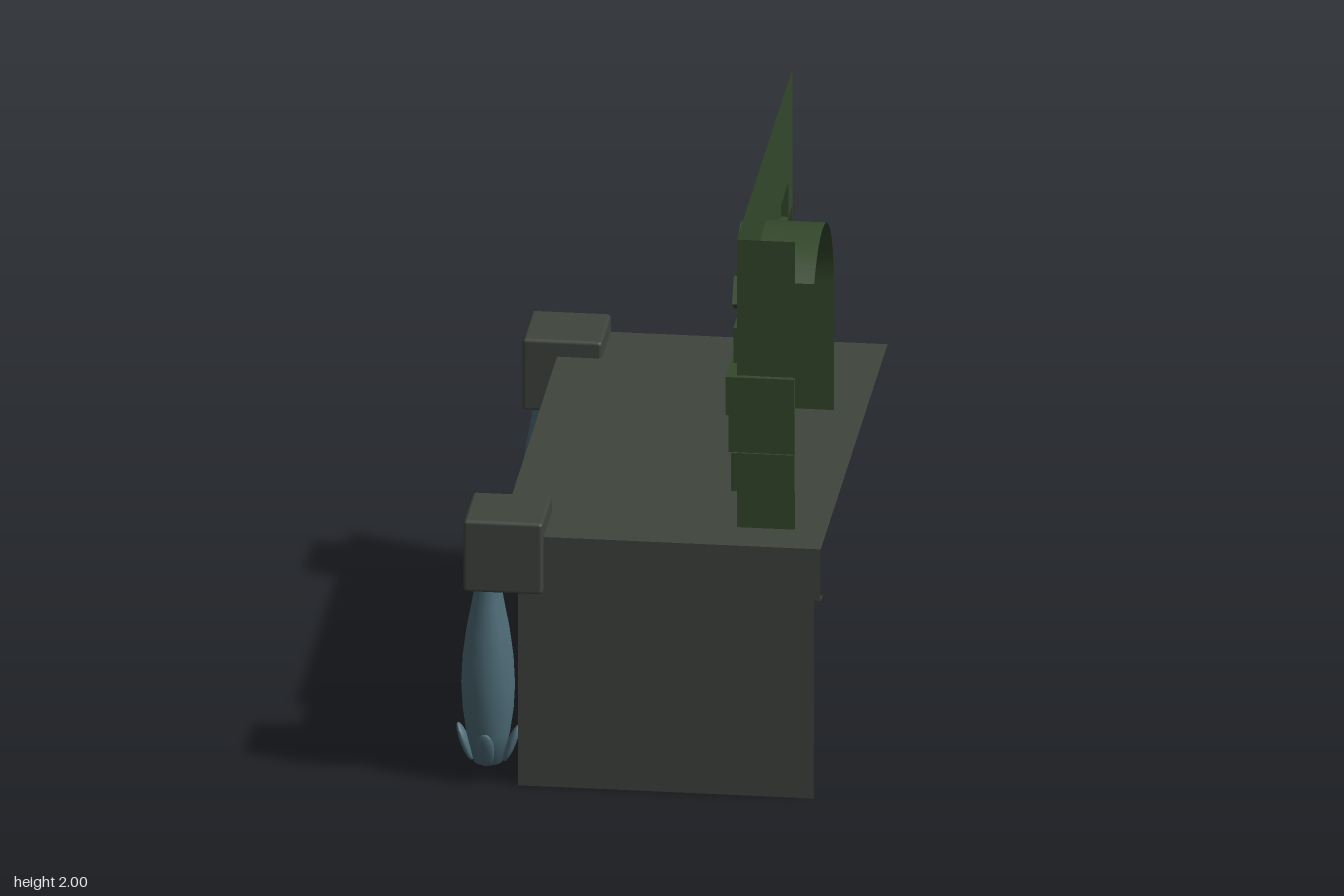
import * as THREE from 'three';
import { RoundedBoxGeometry } from 'three/addons/geometries/RoundedBoxGeometry.js';

const material = (color) => new THREE.MeshStandardMaterial({ color, side: THREE.DoubleSide });
const stone = material(0x3f443d);
const moss = material(0x34492c);
const blue = material(0x4d6b76);

// arch measures in (u, y), where u = -z
const CU = 0.01, CY = 1.415, R_IN = 0.32, R_OUT = 0.39, FLOOR = 0.94, WALL_X = 0.32;

function add(parent, name, geometry, mat) {
  const mesh = new THREE.Mesh(geometry, mat);
  mesh.name = name;
  parent.add(mesh);
  return mesh;
}

// flat sheet whose axis ('x', 'y' or 'z') is fixed at "at"; ranges cover the other two axes in x, y, z order
function sheet(parent, name, mat, axis, at, [a0, a1], [b0, b1]) {
  const g = new THREE.PlaneGeometry(a1 - a0, b1 - b0);
  const a = (a0 + a1) / 2, b = (b0 + b1) / 2;
  if (axis === 'x') g.rotateZ(Math.PI / 2).rotateY(-Math.PI / 2).translate(at, a, b);
  if (axis === 'y') g.rotateX(-Math.PI / 2).translate(a, at, b);
  if (axis === 'z') g.translate(a, b, at);
  return add(parent, name, g, mat);
}

// block between limits, optionally open on its +x side
function block(parent, name, mat, [x0, x1], [y0, y1], [z0, z1], open = false) {
  const g = new THREE.BoxGeometry(x1 - x0, y1 - y0, z1 - z0);
  if (open) {
    g.setIndex(Array.from(g.index.array).slice(6));
    g.clearGroups();
  }
  g.translate((x0 + x1) / 2, (y0 + y1) / 2, (z0 + z1) / 2);
  return add(parent, name, g, mat);
}

// base cabinet and ledge, open towards +x and -z
function makeBase() {
  const base = new THREE.Group();
  base.name = 'base';
  sheet(base, 'longPanel', stone, 'x', -0.42, [0, 0.75], [-0.9, 0.9]);
  sheet(base, 'endPanel', stone, 'z', 0.9, [-0.42, 0.6], [0, 0.75]);
  sheet(base, 'ledgeTop', stone, 'y', FLOOR, [-0.48, 0.63], [-0.955, 0.95]);
  sheet(base, 'ledgeLongFace', stone, 'x', -0.48, [0.75, FLOOR], [-0.955, 0.95]);
  sheet(base, 'ledgeEndFace', stone, 'z', 0.95, [-0.48, 0.63], [0.75, FLOOR]);
  sheet(base, 'ledgeLongSoffit', stone, 'y', 0.75, [-0.48, -0.42], [-0.955, 0.95]);
  sheet(base, 'ledgeEndSoffit', stone, 'y', 0.75, [-0.42, 0.63], [0.9, 0.95]);
  for (const z of [-0.49, 0.005, 0.495])
    block(base, 'bracket', stone, [-0.484, -0.41], [0.62, 0.76], [z - 0.063, z + 0.063]);
  return base;
}

// corner post: bulging baluster, four leaves and a bevelled cap
function makePost() {
  const post = new THREE.Group();
  post.name = 'cornerPost';
  const cap = add(post, 'postCap', new RoundedBoxGeometry(0.275, 0.265, 0.275, 1, 0.014), stone);
  cap.position.set(0.067, 0.867, 0);
  const profile = [[0, 0.06], [0.05, 0.065], [0.075, 0.17], [0.088, 0.26], [0.093, 0.35], [0.088, 0.45],
    [0.075, 0.55], [0.056, 0.65], [0.046, 0.71], [0.043, 0.76]];
  add(post, 'baluster', new THREE.LatheGeometry(profile.map((p) => new THREE.Vector2(...p)), 20), blue);
  for (let i = 0; i < 4; i++) {
    const leaf = new THREE.SphereGeometry(1, 10, 8).scale(0.016, 0.073, 0.032);
    leaf.rotateZ(-0.36).translate(0.08, 0.132, 0).rotateY(i * Math.PI / 2);
    add(post, 'leaf', leaf, blue);
  }
  return post;
}

// arch outline: up the +z jamb, over the top and down the -z jamb
function archPath(path, r) {
  path.lineTo(CU - r, FLOOR);
  path.lineTo(CU - r, CY);
  path.absarc(CU, CY, r, Math.PI, 0, true);
  path.lineTo(CU + r, FLOOR);
  return path;
}

// bricks as [z0, z1, y0, y1, face x]
const bricks = [
  [0.39, 0.67, 1.5, 1.63, 0.295], [0.39, 0.8, 1.36, 1.5, 0.283],
  [0.39, 0.52, 1.22, 1.36, 0.283], [0.52, 0.79, 1.22, 1.36, 0.292],
  [0.52, 0.8, 1.08, 1.22, 0.302],
  [-0.69, -0.41, 1.5, 1.63, 0.295], [-0.53, -0.41, 1.36, 1.5, 0.285], [-0.83, -0.53, 1.36, 1.5, 0.29],
  [-0.69, -0.41, 1.22, 1.36, 0.295], [-0.69, -0.53, 1.08, 1.22, 0.29],
];

function makeArchWall() {
  const wall = new THREE.Group();
  wall.name = 'archWall';

  // wall sheet with the doorway and a recess behind each brick
  const outline = new THREE.Shape();
  outline.moveTo(-0.78, 2).lineTo(-0.78, FLOOR);
  archPath(outline, R_OUT - 0.01);
  outline.lineTo(0.8, FLOOR).lineTo(0.8, 2);
  for (const [z0, z1, y0, y1] of bricks) {
    const u0 = Math.max(-z1, -0.775) + 0.003, u1 = Math.min(-z0, 0.795) - 0.003;
    const hole = new THREE.Path();
    hole.moveTo(u0, y0 + 0.003).lineTo(u1, y0 + 0.003).lineTo(u1, y1 - 0.003).lineTo(u0, y1 - 0.003);
    outline.holes.push(hole);
  }
  const face = new THREE.ShapeGeometry(outline, 16).rotateY(Math.PI / 2).translate(WALL_X, 0, 0);
  add(wall, 'wallFace', face, moss);
  sheet(wall, 'wallReturn', moss, 'z', 0.78, [WALL_X, 0.52], [FLOOR, 2]);

  // bricks, and the ones that wrap round the corner
  for (const [z0, z1, y0, y1, x] of bricks) block(wall, 'brick', moss, [x, WALL_X], [y0, y1], [z0, z1], true);
  [[1.08, 0.797, 0.302], [1.22, 0.79, 0.292], [1.36, 0.8, 0.283]].forEach(([y, z, x]) =>
    block(wall, 'cornerBrick', moss, [x, 0.52], [y, y + 0.14], [0.78, z]));

  // raised arch surround
  const band = new THREE.Shape();
  band.moveTo(CU - R_OUT, FLOOR);
  archPath(band, R_OUT);
  band.lineTo(CU + R_IN, FLOOR).lineTo(CU + R_IN, CY);
  band.absarc(CU, CY, R_IN, 0, Math.PI, false);
  band.lineTo(CU - R_IN, FLOOR);
  const surround = new THREE.ExtrudeGeometry(band, { depth: 0.048, bevelEnabled: false, curveSegments: 14 });
  add(wall, 'archSurround', surround.rotateY(Math.PI / 2).translate(0.27, 0, 0), moss);

  // proud arch stones, by angle from the crown towards +z
  for (const deg of [23, 57, -41]) {
    const archStone = new THREE.BoxGeometry(0.035, 0.07, 0.1).translate(0, 0.354, 0);
    archStone.rotateX(THREE.MathUtils.degToRad(deg)).translate(0.268, CY, -CU);
    add(wall, 'archStone', archStone, moss);
  }

  // vault behind the arch: partial curve, then one jamb down to the floor
  const N = 12, start = Math.acos(-0.24 / R_IN);
  const vault = new THREE.PlaneGeometry(1, 1, N + 1, 1);
  const pos = vault.attributes.position;
  for (let i = 0; i < pos.count; i++) {
    const k = i % (N + 2), x = i < N + 2 ? WALL_X - 0.005 : 0.52;
    const a = start * (1 - Math.min(k, N) / N);
    pos.setXYZ(i, x, k > N ? FLOOR : CY + R_IN * Math.sin(a), -CU - R_IN * Math.cos(a));
  }
  vault.computeVertexNormals();
  add(wall, 'archVault', vault, moss);
  return wall;
}

export function createModel() {
  const model = new THREE.Group();
  model.name = 'archwayOnBase';
  model.add(makeBase(), makeArchWall());
  for (const side of [-1, 1]) {
    const post = makePost();
    post.position.set(-0.53, 0, side * 0.843);
    model.add(post);
  }
  return model;
}
